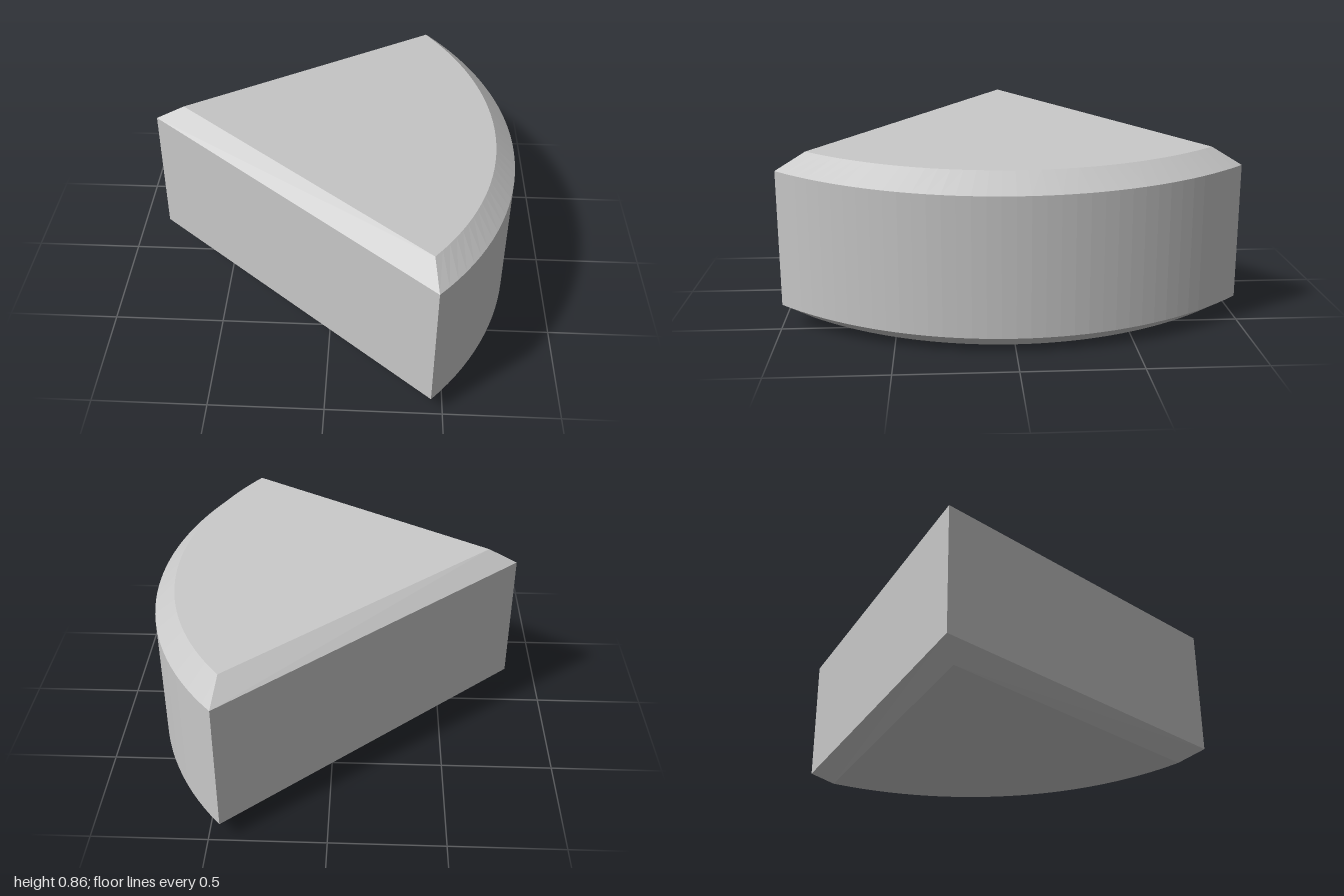
import * as THREE from 'three';

const SEGMENTS = 36;
const SLOPE = -0.0765; // the whole wedge is sheared downwards along +x

// Closed outline of a wedge: the apex, then the curved rim from front to back
function wedgeOutline(apexX, cornerX, cornerZ, rimX) {
  const sagitta = rimX - cornerX;
  const radius = (cornerZ ** 2 + sagitta ** 2) / (2 * sagitta);
  const centreX = rimX - radius;
  const half = Math.asin(cornerZ / radius);
  const points = [[apexX, 0]];
  for (let i = 0; i <= SEGMENTS; i++) {
    const a = half * (1 - (2 * i) / SEGMENTS);
    points.push([centreX + radius * Math.cos(a), radius * Math.sin(a)]);
  }
  return points;
}

// Lifts an outline to a height and applies the shear
function ring(outline, height) {
  return outline.map(([x, z]) => [x, height + SLOPE * x, z]);
}

// Joins the rings with flat faces and closes both ends with fans
function loft(rings) {
  const positions = [];
  const triangle = (a, b, c) => positions.push(...a, ...b, ...c);
  const n = rings[0].length;
  for (let r = 0; r < rings.length - 1; r++) {
    const low = rings[r];
    const high = rings[r + 1];
    for (let i = 0; i < n; i++) {
      const j = (i + 1) % n;
      triangle(low[i], low[j], high[j]);
      triangle(low[i], high[j], high[i]);
    }
  }
  const bottom = rings[0];
  const top = rings[rings.length - 1];
  for (let i = 1; i < n - 1; i++) {
    triangle(bottom[0], bottom[i + 1], bottom[i]);
    triangle(top[0], top[i], top[i + 1]);
  }
  const geometry = new THREE.BufferGeometry();
  geometry.setAttribute('position', new THREE.Float32BufferAttribute(positions, 3));
  geometry.computeVertexNormals();
  return geometry;
}

export function createModel() {
  const grey = new THREE.MeshStandardMaterial({ color: 0xc8c8c8 });
  grey.name = 'light grey';

  // Full outline for the walls, inset outline for the bevelled top and bottom
  const outer = wedgeOutline(-0.82, 0.447, 1, 0.818);
  const inner = wedgeOutline(-0.69, 0.428, 0.87, 0.727);

  const wedge = new THREE.Mesh(
    loft([ring(inner, 0.057), ring(outer, 0.127), ring(outer, 0.727), ring(inner, 0.804)]),
    grey
  );
  wedge.name = 'bevelledWedge';

  const model = new THREE.Group();
  model.name = 'wedge';
  model.add(wedge);
  return model;
}
